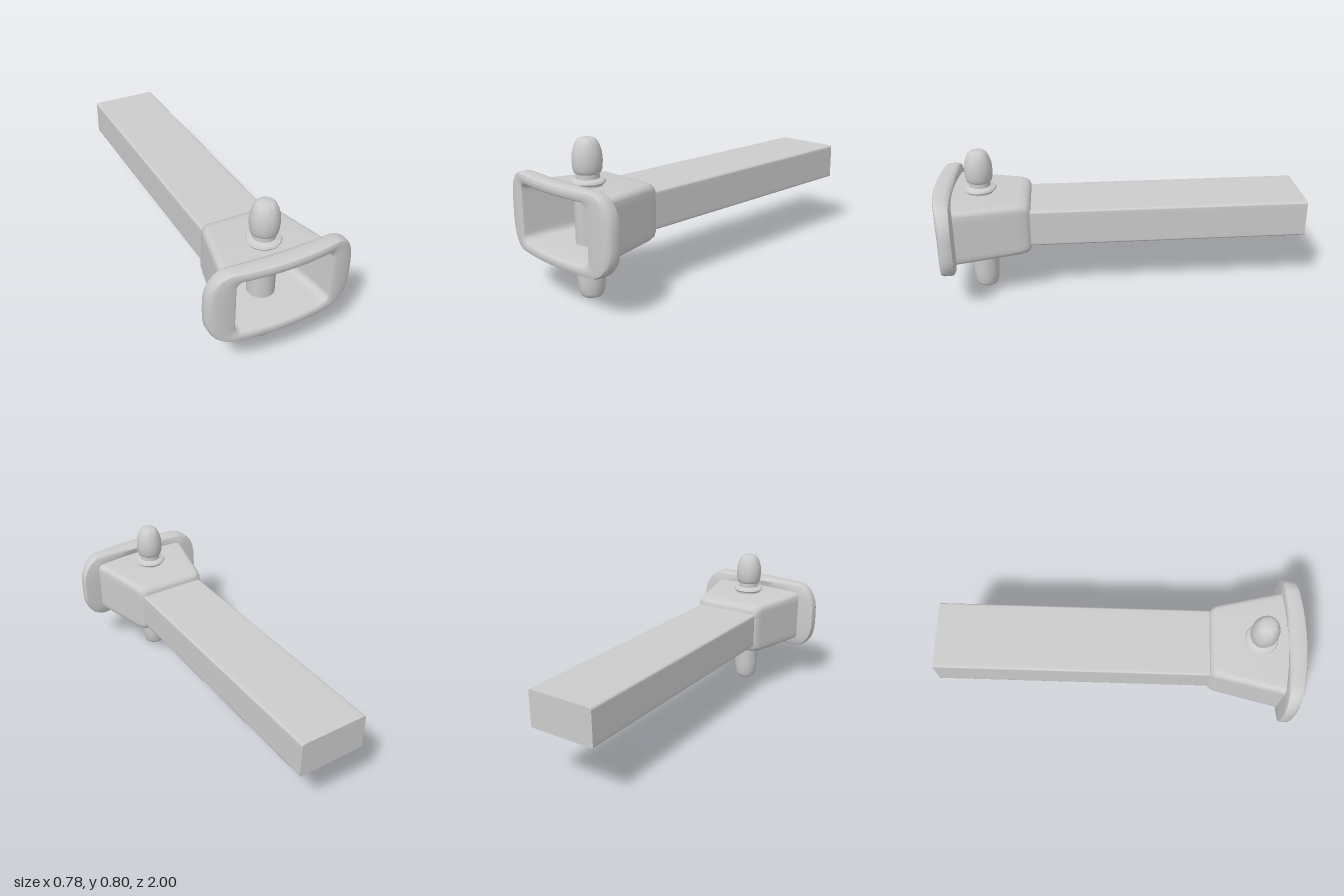
import * as THREE from 'three';
import { toCreasedNormals } from 'three/addons/utils/BufferGeometryUtils.js';

const material = new THREE.MeshStandardMaterial({ color: 0xcccccc });
const MID_Y = 0.42;
const PIN_Z = 0.76;

// Rounded rectangle, counter-clockwise seen from +z, with optionally bowed sides.
function ring({ hw, hh, r, z, bulge = 0, bend = 0 }) {
  const points = [];
  const corners = [[1, 1], [-1, 1], [-1, -1], [1, -1]];
  const CORNER = 6, EDGE = 10;
  const outline = [];
  corners.forEach(([sx, sy], c) => {
    for (let i = 0; i <= CORNER; i++) {
      const a = (c + i / CORNER) * Math.PI / 2;
      outline.push([sx * (hw - r) + r * Math.cos(a), sy * (hh - r) + r * Math.sin(a)]);
    }
  });
  outline.forEach((p, i) => {
    points.push(p);
    if (i % (CORNER + 1) !== CORNER) return;
    // subdivide the straight run to the next corner
    const q = outline[(i + 1) % outline.length];
    for (let k = 1; k < EDGE; k++) {
      const t = k / EDGE;
      points.push([p[0] + (q[0] - p[0]) * t, p[1] + (q[1] - p[1]) * t]);
    }
  });
  return points.map(([x, y]) => {
    const bowed = x + bulge * (x / hw) * (1 - Math.abs(y / hh) ** 3.5);
    return [bowed, MID_Y + y, z - bend * (bowed / 0.39) ** 2];
  });
}

// Skin over a list of rings.
function loft(sections, crease) {
  const rings = sections.map(ring);
  const n = rings[0].length;
  const index = [];
  for (let i = 0; i < rings.length - 1; i++) {
    for (let j = 0; j < n; j++) {
      const a = i * n + j, b = i * n + (j + 1) % n;
      index.push(a, b, b + n, a, b + n, a + n);
    }
  }
  const geometry = new THREE.BufferGeometry();
  geometry.setAttribute('position', new THREE.Float32BufferAttribute(rings.flat(2), 3));
  geometry.setIndex(index);
  return toCreasedNormals(geometry, crease);
}

function lathe(profile) {
  const points = profile.map(([r, y]) => new THREE.Vector2(r, y));
  return toCreasedNormals(new THREE.LatheGeometry(points, 32), 0.7);
}

export function createModel() {
  const model = new THREE.Group();
  const add = (name, geometry, z = 0) => {
    const mesh = new THREE.Mesh(geometry, material);
    mesh.name = name;
    mesh.position.z = z;
    model.add(mesh);
  };

  // Long bar with slightly softened edges
  const bar = { hw: 0.188, hh: 0.1, r: 0.01 };
  add('bar', loft([
    { hw: 0.001, hh: 0.001, r: 0.0005, z: -1 },
    { ...bar, z: -1 },
    { ...bar, z: 0.52 },
  ], 0.6));

  // Hollow tapered socket: outside, curved flange, then back along the inside
  add('socket', loft([
    { hw: 0.001, hh: 0.001, r: 0.0005, z: 0.49 },
    { hw: 0.18, hh: 0.115, r: 0.035, z: 0.49 },
    { hw: 0.192, hh: 0.128, r: 0.035, z: 0.497 },
    { hw: 0.204, hh: 0.14, r: 0.035, z: 0.515 },
    { hw: 0.213, hh: 0.147, r: 0.035, z: 0.55 },
    { hw: 0.29, hh: 0.151, r: 0.03, z: 0.908, bend: 0.05 },
    { hw: 0.295, hh: 0.185, r: 0.03, z: 0.9, bend: 0.022, bulge: 0.07 },
    { hw: 0.3, hh: 0.197, r: 0.03, z: 0.908, bend: 0.025, bulge: 0.085 },
    { hw: 0.302, hh: 0.203, r: 0.03, z: 0.93, bend: 0.035, bulge: 0.088 },
    { hw: 0.302, hh: 0.203, r: 0.03, z: 0.98, bend: 0.05, bulge: 0.088 },
    { hw: 0.3, hh: 0.197, r: 0.03, z: 0.995, bend: 0.052, bulge: 0.08 },
    { hw: 0.295, hh: 0.186, r: 0.03, z: 1, bend: 0.055, bulge: 0.065 },
    { hw: 0.268, hh: 0.163, r: 0.035, z: 1, bend: 0.055 },
    { hw: 0.258, hh: 0.153, r: 0.035, z: 0.993, bend: 0.055 },
    { hw: 0.254, hh: 0.149, r: 0.035, z: 0.975, bend: 0.055 },
    { hw: 0.247, hh: 0.143, r: 0.035, z: 0.88 },
    { hw: 0.18, hh: 0.13, r: 0.04, z: 0.55 },
    { hw: 0.001, hh: 0.001, r: 0.0005, z: 0.55 },
  ], 0.75));

  // Pin shaft with a rounded lower tip
  add('pinShaft', lathe([
    [0, 0], [0.048, 0], [0.056, 0.006], [0.062, 0.022], [0.068, 0.06],
    [0.071, 0.1], [0.071, 0.575],
  ]), PIN_Z);

  // Collar resting on the socket
  add('pinCollar', lathe([
    [0, 0.565], [0.072, 0.565], [0.072, 0.578], [0.083, 0.58], [0.088, 0.588],
    [0.083, 0.597], [0.07, 0.6], [0.06, 0.606], [0, 0.606],
  ]), PIN_Z);

  // Neck and bullet-shaped knob
  add('pinKnob', lathe([
    [0.058, 0.595], [0.057, 0.629], [0.066, 0.635], [0.072, 0.655], [0.0745, 0.69],
    [0.072, 0.73], [0.062, 0.765], [0.05, 0.789], [0.04, 0.798], [0.025, 0.803], [0, 0.804],
  ]), PIN_Z);

  return model;
}
